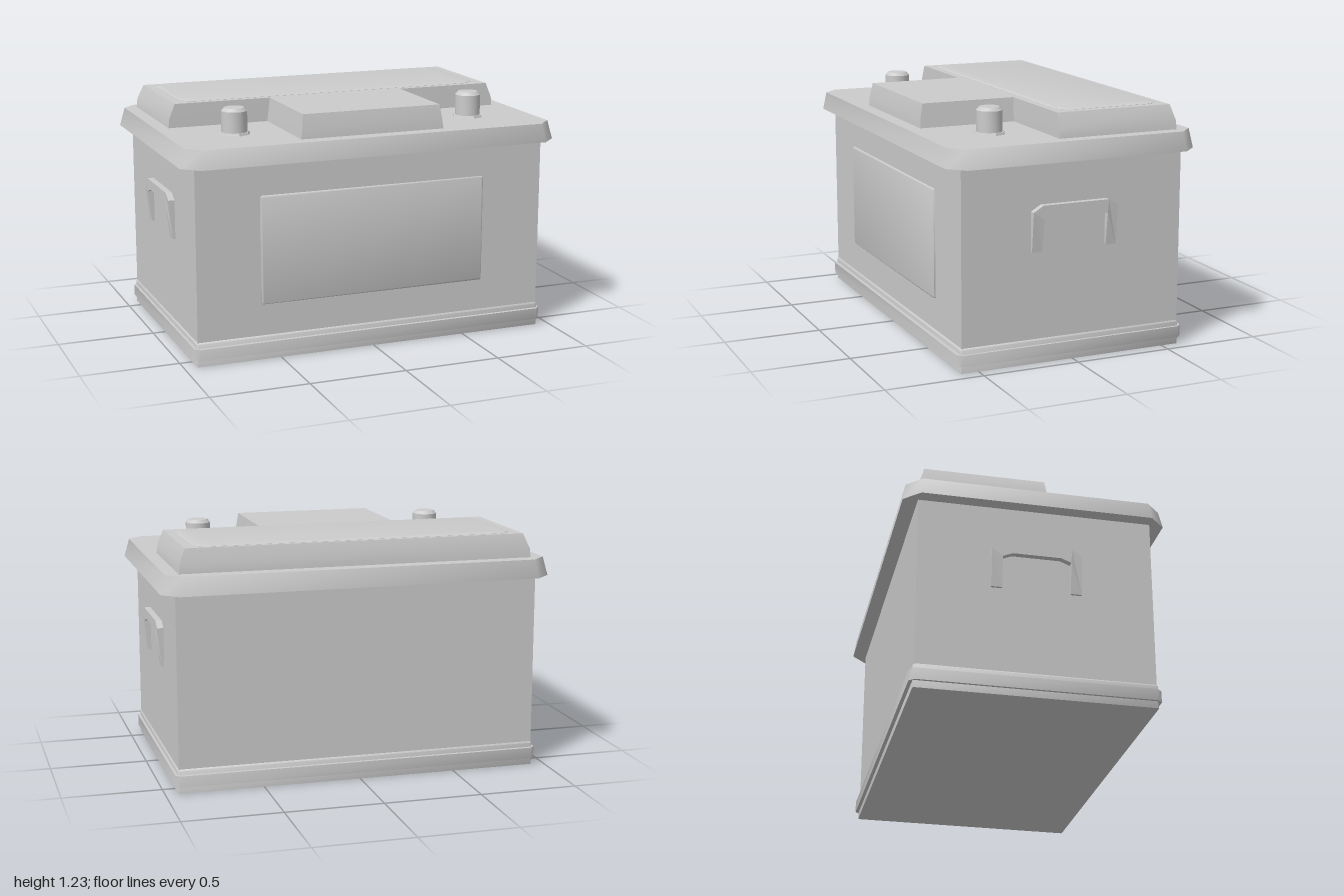
import * as THREE from 'three';
import { toCreasedNormals } from 'three/addons/utils/BufferGeometryUtils.js';

const grey = new THREE.MeshStandardMaterial({ color: 0xcccccc });

function add(group, name, geometry) {
  const mesh = new THREE.Mesh(geometry, grey);
  mesh.name = name;
  group.add(mesh);
  return mesh;
}

// Closed solid from stacked outlines: levels are [y, [[x, s], ...]], counter-clockwise, z = -s
function loft(levels) {
  const pos = [];
  const put = ([y, pts], i) => {
    const p = pts[i % pts.length];
    pos.push(p[0], y, -p[1]);
  };
  const n = levels[0][1].length;
  for (let k = 0; k < levels.length - 1; k++) {
    const a = levels[k], b = levels[k + 1];
    for (let i = 0; i < n; i++) {
      put(a, i); put(a, i + 1); put(b, i + 1);
      put(a, i); put(b, i + 1); put(b, i);
    }
  }
  const top = levels[levels.length - 1], bottom = levels[0];
  const cap = (level) => THREE.ShapeUtils.triangulateShape(level[1].map((p) => new THREE.Vector2(...p)), []);
  for (const [a, b, c] of cap(top)) { put(top, a); put(top, b); put(top, c); }
  for (const [a, b, c] of cap(bottom)) { put(bottom, a); put(bottom, c); put(bottom, b); }
  const g = new THREE.BufferGeometry();
  g.setAttribute('position', new THREE.Float32BufferAttribute(pos, 3));
  return toCreasedNormals(g, 0.9);
}

// Rectangle outline with cut corners
function cutRect(w, d, c) {
  return [[w, -d + c], [w, d - c], [w - c, d], [-w + c, d], [-w, d - c], [-w, -d + c], [-w + c, -d], [w - c, -d]];
}

// Rectangle outline with rounded corners, shifted by s
function roundRect(w, d, r, s, steps = 6) {
  const pts = [];
  [[1, 1], [-1, 1], [-1, -1], [1, -1]].forEach(([sx, sy], q) => {
    for (let i = 0; i <= steps; i++) {
      const a = (q + i / steps) * Math.PI / 2;
      pts.push([sx * (w - r) + r * Math.cos(a), sy * (d - r) + r * Math.sin(a) + s]);
    }
  });
  return pts;
}

// T-shaped outline of the raised cover: wide at the back with a tongue to the front
function tee(w, back, step, tongue, front) {
  return [[w, -step], [w, back], [-w, back], [-w, -step], [-tongue, -step], [-tongue, -front], [tongue, -front], [tongue, -step]];
}

function handleGeometry() {
  const half = [[0.225, 0.56], [0.225, 0.76], [0.175, 0.79]];
  const inner = [[0.12, 0.74], [0.17, 0.72], [0.17, 0.56]];
  const flip = (pts) => pts.map(([x, y]) => [-x, y]).reverse();
  const outline = [...half, ...flip(half), ...flip(inner), ...inner];
  const shape = new THREE.Shape(outline.map((p) => new THREE.Vector2(...p)));
  const g = new THREE.ExtrudeGeometry(shape, { depth: 0.045, bevelEnabled: false });
  // Slant the lower ends of the grip back towards the wall
  const p = g.attributes.position;
  for (let i = 0; i < p.count; i++) {
    if (p.getZ(i) > 0.02 && p.getY(i) < 0.6) p.setZ(i, 0.025);
  }
  g.computeVertexNormals();
  return g;
}

export function createModel() {
  const model = new THREE.Group();
  model.name = 'carBattery';

  // Case with a slightly wider foot and a rim around it
  add(model, 'case', new THREE.BoxGeometry(1.86, 0.96, 1.172)).position.y = 0.53;
  add(model, 'foot', loft([[0, cutRect(0.935, 0.592, 0.006)], [0.115, cutRect(0.935, 0.592, 0.006)], [0.123, cutRect(0.93, 0.586, 0.006)]]));
  add(model, 'footRim', loft([[0.036, cutRect(0.948, 0.61, 0.025)], [0.094, cutRect(0.948, 0.61, 0.025)]]));

  // Lid
  add(model, 'lid', loft([[1.0, cutRect(1.0, 0.66, 0.08)], [1.095, cutRect(0.975, 0.645, 0.075)]]));

  // Raised cover and its label plate
  add(model, 'cover', loft([
    [1.09, tee(0.908, 0.572, 0.067, 0.382, 0.573)],
    [1.14, tee(0.903, 0.57, 0.066, 0.376, 0.57)],
    [1.216, tee(0.872, 0.55, 0.063, 0.366, 0.555)],
  ]));
  add(model, 'topPlate', loft([
    [1.212, roundRect(0.828, 0.278, 0.09, 0.25)],
    [1.217, roundRect(0.828, 0.278, 0.09, 0.25)],
    [1.223, roundRect(0.808, 0.263, 0.075, 0.25)],
  ]));

  // Front label
  const label = add(model, 'frontLabel', loft([[0, cutRect(0.6, 0.275, 0.006)], [0.008, cutRect(0.6, 0.275, 0.006)], [0.012, cutRect(0.595, 0.27, 0.006)]]));
  label.rotation.x = Math.PI / 2;
  label.position.set(0, 0.56, 0.585);

  const profile = [[0, 1.09], [0.065, 1.09], [0.065, 1.212], [0.05, 1.228], [0, 1.23]].map((p) => new THREE.Vector2(...p));
  const postGeometry = toCreasedNormals(new THREE.LatheGeometry(profile, 24).toNonIndexed(), 0.6);
  for (const side of [-1, 1]) {
    const name = side > 0 ? 'left' : 'right';

    // Terminal post on an eight-sided collar
    const terminal = new THREE.Group();
    terminal.name = name + 'Terminal';
    terminal.position.set(side * 0.64, 0, 0.315);
    add(terminal, 'post', postGeometry);
    add(terminal, 'collar', toCreasedNormals(new THREE.CylinderGeometry(0.076, 0.082, 0.014, 8).toNonIndexed(), 0.4)).position.y = 1.1;
    model.add(terminal);

    // Carrying handle
    const handle = add(model, name + 'Handle', handleGeometry());
    handle.rotation.y = side * Math.PI / 2;
    handle.position.x = side * 0.917;
  }
  return model;
}
